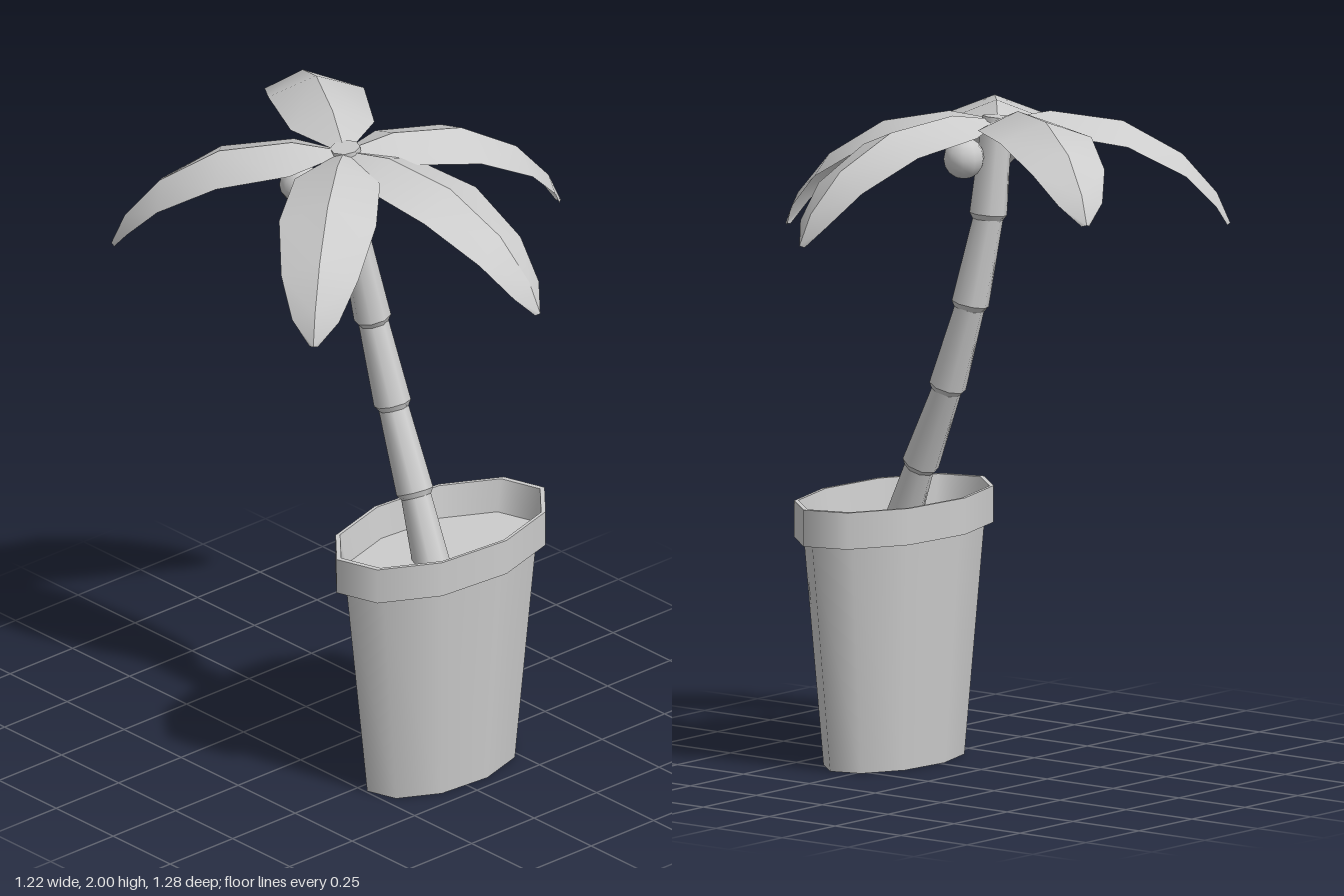
import * as THREE from 'three';

const grey = new THREE.MeshStandardMaterial({ color: 0xcccccc });
grey.name = 'plain grey';
const greyTwoSided = grey.clone();
greyTwoSided.name = 'plain grey two-sided';
greyTwoSided.side = THREE.DoubleSide;

const V = (x, y, z) => new THREE.Vector3(x, y, z);

// Revolves each straight piece of a profile separately, so edges between pieces stay sharp
function turned(name, profile, sides, phase = 0) {
  const group = new THREE.Group();
  group.name = name;
  for (let i = 0; i < profile.length - 1; i++) {
    const pts = [profile[i], profile[i + 1]].map(([r, y]) => new THREE.Vector2(r, y));
    const mesh = new THREE.Mesh(new THREE.LatheGeometry(pts, sides, phase), grey);
    mesh.name = `${name}Face${i + 1}`;
    group.add(mesh);
  }
  return group;
}

// Oval ten-sided pot with a collar and a recessed soil surface
function makePot() {
  const pot = new THREE.Group();
  pot.name = 'pot';
  const phase = THREE.MathUtils.degToRad(10);
  pot.add(turned('potBody', [[0, 0], [0.277, 0], [0.355, 0.69]], 10, phase));
  pot.add(turned('potRim', [[0.34, 0.69], [0.392, 0.69], [0.392, 0.8], [0.375, 0.8], [0.352, 0.7]], 10, phase));
  pot.add(turned('soil', [[0.354, 0.7], [0, 0.7]], 10, phase));
  pot.scale.z = 0.557;
  pot.position.set(0.03, 0, 0.307);
  return pot;
}

// Leaning trunk of flared segments, each seated on the one below
function makeTrunk() {
  const trunk = new THREE.Group();
  trunk.name = 'trunk';
  const joints = [
    V(-0.025, 0.67, 0.335), V(-0.01, 0.875, 0.245), V(0.005, 1.12, 0.13),
    V(0, 1.375, 0.047), V(-0.03, 1.645, 0), V(-0.06, 1.945, -0.012),
  ];
  for (let i = 0; i < joints.length - 1; i++) {
    const axis = joints[i + 1].clone().sub(joints[i]);
    const length = axis.length();
    const segment = turned(`trunkSegment${i + 1}`,
      [[0.043, 0], [0.056, 0.02], [0.045, length + 0.01], [0, length + 0.01]], 8);
    segment.position.copy(joints[i]);
    segment.quaternion.setFromUnitVectors(V(0, 1, 0), axis.normalize());
    trunk.add(segment);
  }
  return trunk;
}

// Arched leaf along +x: rows of [distance, half width, rib height, edge droop]
const leafRows = [
  [0, 0.01, 0, 0.005], [0.16, 0.127, 0.03, 0.05], [0.38, 0.145, 0.005, 0.055],
  [0.56, 0.115, -0.09, 0.05], [0.665, 0.07, -0.205, 0.03], [0.705, 0.012, -0.295, 0.005],
];

// One half of a leaf blade; side is +1 or -1 and lift tilts the whole leaf
function leafHalf(side, lift) {
  const positions = [], index = [];
  leafRows.forEach(([d, w, h, droop], i) => {
    const y = h + lift * d;
    positions.push(d, y, 0, d - 0.01 * (d > 0.6), y - droop, side * w);
    if (i === 0) return;
    const a = 2 * i - 2, b = a + 1, c = a + 2, e = a + 3;
    if (side > 0) index.push(a, b, c, b, e, c);
    else index.push(a, c, b, b, c, e);
  });
  const geometry = new THREE.BufferGeometry();
  geometry.setAttribute('position', new THREE.Float32BufferAttribute(positions, 3));
  geometry.setIndex(index);
  geometry.computeVertexNormals();
  return geometry;
}

function makeLeaves() {
  const leaves = new THREE.Group();
  leaves.name = 'leaves';
  // Direction in x and z, lift, length scale
  const layout = [
    [0.67, 0.21, -0.02, 1], [0.36, -0.625, 0.14, 1.03], [-0.48, -0.49, -0.04, 0.98],
    [-0.545, 0.46, 0, 1.01], [0.185, 0.65, -0.09, 0.965],
  ];
  layout.forEach(([x, z, lift, size], i) => {
    const leaf = new THREE.Group();
    leaf.name = `leaf${i + 1}`;
    for (const side of [1, -1]) {
      const half = new THREE.Mesh(leafHalf(side, lift), greyTwoSided);
      half.name = side > 0 ? 'leafRightHalf' : 'leafLeftHalf';
      leaf.add(half);
    }
    leaf.scale.x = size;
    leaf.rotation.y = Math.atan2(-z, x);
    leaf.position.set(-0.065, 1.945, -0.01);
    leaves.add(leaf);
  });
  return leaves;
}

// Round fruits hanging under the crown
function makeFruits() {
  const fruits = new THREE.Group();
  fruits.name = 'fruits';
  [[-0.165, 1.84, -0.095], [0.045, 1.84, 0.03]].forEach((p, i) => {
    const fruit = new THREE.Mesh(new THREE.SphereGeometry(0.062, 10, 8), grey);
    fruit.name = `fruit${i + 1}`;
    fruit.position.set(...p);
    fruits.add(fruit);
  });
  return fruits;
}

export function createModel() {
  const model = new THREE.Group();
  model.name = 'pottedPalm';
  model.add(makePot(), makeTrunk(), makeLeaves(), makeFruits());
  return model;
}
